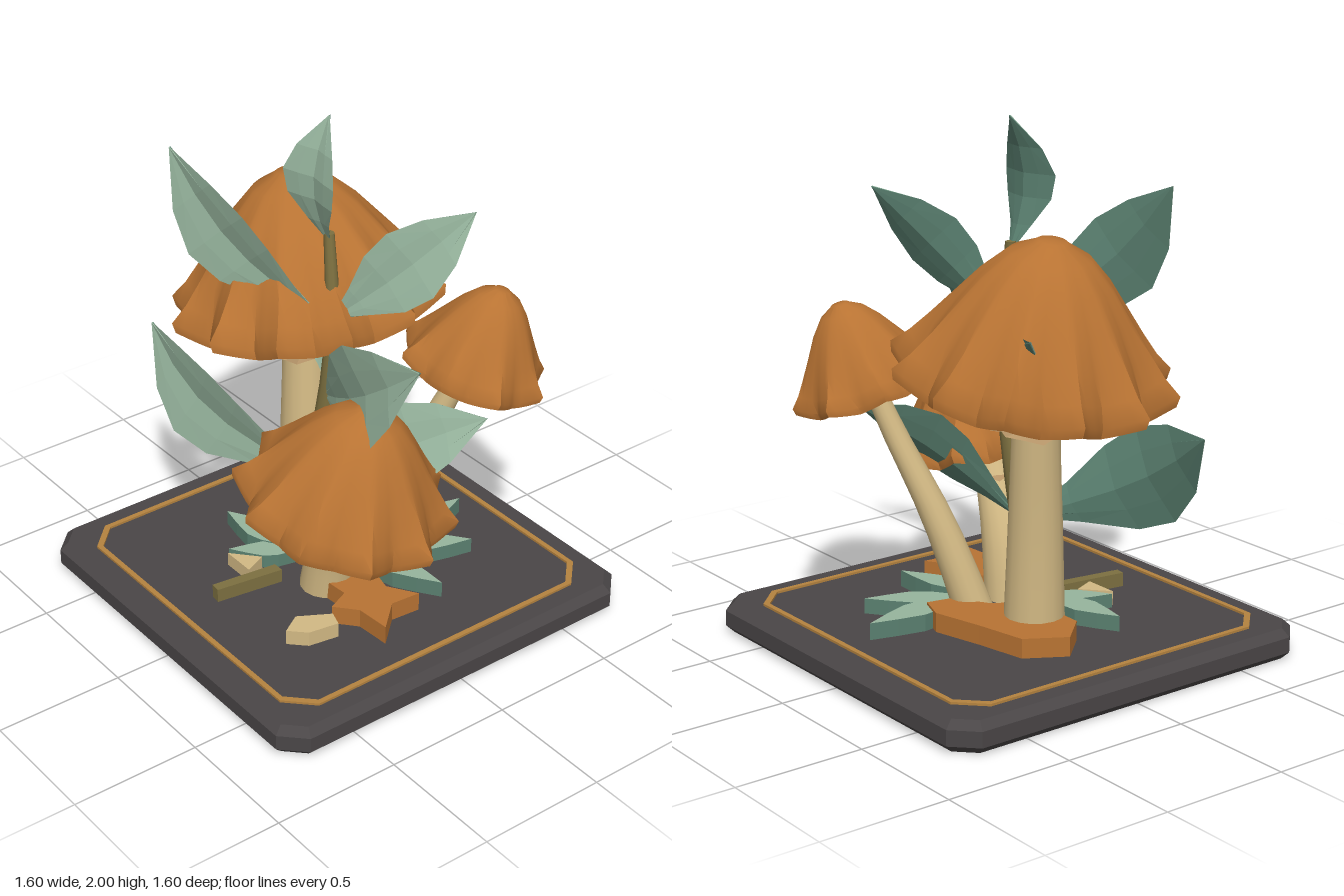
import * as THREE from 'three';
import { toCreasedNormals } from 'three/addons/utils/BufferGeometryUtils.js';

const V = (x, y, z) => new THREE.Vector3(x, y, z);
const UP = V(0, 1, 0);

function makeMaterials() {
  const mat = (name, color, extra = {}) => {
    const m = new THREE.MeshStandardMaterial({ color, ...extra });
    m.name = name;
    return m;
  };
  const thin = { side: THREE.DoubleSide, flatShading: true };
  return {
    copper: mat('copper brown', 0xb87333),
    leaf: mat('sage green', 0x96b49d, thin),
    leafBack: mat('deep green', 0x5a8070, thin),
    cream: mat('cream', 0xd2b984),
    olive: mat('olive', 0x7d7040),
    skirt: mat('tan', 0xb59468, thin),
    slate: mat('charcoal', 0x4a4647),
    brass: mat('brass', 0xb5833f),
  };
}

function add(parent, name, geometry, material) {
  const mesh = new THREE.Mesh(geometry, material);
  mesh.name = name;
  parent.add(mesh);
  return mesh;
}

// Square with cut corners
function cutSquare(Type, h, c) {
  const k = h - c;
  return new Type([[h, k], [k, h], [-k, h], [-h, k], [-h, -k], [-k, -h], [k, -h], [h, -k]]
    .map(([x, y]) => new THREE.Vector2(x, y)));
}

// Flat plate from an outline in plan (x, z)
function plate(points, y, depth) {
  const shape = new THREE.Shape(points.map(([x, z]) => new THREE.Vector2(x, -z)));
  const g = new THREE.ExtrudeGeometry(shape, { depth, bevelEnabled: false });
  return g.rotateX(-Math.PI / 2).translate(0, y, 0);
}

// Stem that follows a curve and tapers
function stemGeometry(points, r0, r1, sides = 16) {
  const curve = new THREE.CatmullRomCurve3(points.map((p) => V(...p)));
  const g = new THREE.CylinderGeometry(1, 1, 1, sides, 10);
  const p = g.attributes.position;
  for (let i = 0; i < p.count; i++) {
    const t = p.getY(i) + 0.5;
    const c = curve.getPoint(t);
    const r = r1 + (r0 - r1) * Math.pow(1 - t, 1.2);
    p.setXYZ(i, c.x + p.getX(i) * r, c.y, c.z + p.getZ(i) * r);
  }
  return toCreasedNormals(g, 0.9);
}

// Star-rimmed bell: outer skin, lip, then inner skin; the points flare up
function capGeometry(R, H, points, phase) {
  const outer = [[0.002, 1], [0.1, 0.995], [0.13, 0.975], [0.28, 0.9], [0.45, 0.73], [0.6, 0.53],
    [0.75, 0.32], [0.88, 0.14], [1, 0]];
  const inner = [[0.985, -0.07], [0.92, -0.05], [0.72, 0.25], [0.42, 0.66], [0.2, 0.85], [0.002, 0.9]];
  const rows = [...outer, ...inner];
  const n = points * 8;
  const pos = [], index = [];
  rows.forEach(([u, v]) => {
    const s = Math.pow(u, 3);
    for (let j = 0; j < n; j++) {
      const a = (j / n) * Math.PI * 2 + phase;
      const dip = Math.pow(1 - Math.abs((j % 8) - 4) / 4, 0.75);
      const r = R * u * (1.02 - 0.18 * s * dip);
      pos.push(r * Math.cos(a), H * v + R * s * (0.12 - 0.1 * dip), r * Math.sin(a));
    }
  });
  // j % 8 = 4 marks a valley of the star, j % 8 = 0 a point
  for (let i = 0; i < rows.length - 1; i++) {
    for (let j = 0; j < n; j++) {
      const k = (j + 1) % n;
      const a = i * n + j, b = i * n + k, c = a + n, d = b + n;
      index.push(a, b, c, b, d, c);
    }
  }
  const g = new THREE.BufferGeometry();
  g.setAttribute('position', new THREE.Float32BufferAttribute(pos, 3));
  g.setIndex(index);
  return toCreasedNormals(g, 0.8);
}

// Ragged collar around a stem
function skirtGeometry(r) {
  const g = new THREE.RingGeometry(r * 0.4, r, 14, 1).rotateX(-Math.PI / 2);
  const p = g.attributes.position;
  for (let i = 0; i < p.count; i++) {
    const x = p.getX(i), z = p.getZ(i);
    const a = Math.atan2(z, x);
    const rim = Math.hypot(x, z) > r * 0.7;
    const k = rim ? 0.9 + 0.1 * Math.cos(a * 7) : 1;
    p.setXYZ(i, x * k, rim ? 0.012 * Math.sin(a * 3) : 0.02, z * k);
  }
  return g;
}

// One face of a cupped, arched leaf; lift moves it off the middle layer
function leafGeometry(base, tip, side, half, bow, lift) {
  const b = V(...base), t = V(...tip), s = V(...side).normalize(), w = V(...bow);
  const normal = t.clone().sub(b).cross(s).normalize();
  const stations = [[0, 0.06], [0.18, 0.42], [0.38, 0.88], [0.56, 1], [0.76, 0.7], [1, 0.005]];
  const pos = [], index = [];
  stations.forEach(([u, k], i) => {
    const mid = b.clone().lerp(t, u).addScaledVector(w, Math.sin(Math.PI * u));
    [-1, -0.5, 0, 0.5, 1].forEach((e) => {
      const cup = Math.abs(e) * k * half * 0.25 + (Math.abs(e) < 1 ? lift : 0);
      const q = mid.clone().addScaledVector(s, e * half * k).addScaledVector(normal, cup);
      pos.push(q.x, q.y, q.z);
    });
    if (i) {
      for (let j = 0; j < 4; j++) {
        const a = (i - 1) * 5 + j, c = a + 5;
        if (lift > 0) index.push(a, c, a + 1, a + 1, c, c + 1);
        else index.push(a, a + 1, c, a + 1, c + 1, c);
      }
    }
  });
  const g = new THREE.BufferGeometry();
  g.setAttribute('position', new THREE.Float32BufferAttribute(pos, 3));
  g.setIndex(index);
  const flat = g.toNonIndexed();
  flat.computeVertexNormals();
  return flat;
}

// Outline of a leaf lying on the plinth
function flatLeaf(x0, z0, x1, z1, w) {
  const dx = x1 - x0, dz = z1 - z0, l = Math.hypot(dx, dz);
  return [[0, 0.2], [0.3, 0.9], [0.5, 1], [0.75, 0.55], [1, 0], [0.75, -0.55], [0.5, -1], [0.3, -0.9], [0, -0.2]]
    .map(([u, e]) => [x0 + dx * u - (dz / l) * e * w, z0 + dz * u + (dx / l) * e * w]);
}

export function createModel() {
  const M = makeMaterials();
  const root = new THREE.Group();
  root.name = 'mushroomCluster';

  // Plinth with bevelled edges and an inlaid border
  const slab = new THREE.ExtrudeGeometry(cutSquare(THREE.Shape, 0.77, 0.07),
    { depth: 0.06, bevelThickness: 0.03, bevelSize: 0.03, bevelSegments: 1 });
  add(root, 'plinth', slab.rotateX(-Math.PI / 2).translate(0, 0.03, 0), M.slate);
  const border = cutSquare(THREE.Shape, 0.7, 0.1);
  border.holes.push(cutSquare(THREE.Path, 0.68, 0.093));
  const inlay = new THREE.ExtrudeGeometry(border, { depth: 0.009, bevelEnabled: false });
  add(root, 'plinthInlay', inlay.rotateX(-Math.PI / 2).translate(0, 0.12, 0), M.brass);

  // Mushrooms: stem path, rim centre, apex, radius, rim points and their phase
  const mushrooms = [
    { name: 'largeMushroom', stem: [[-0.235, 0, -0.05], [-0.255, 0.5, -0.06], [-0.285, 0.95, -0.08], [-0.32, 1.35, -0.08]],
      r: [0.12, 0.075], rim: V(-0.27, 1.08, -0.09), apex: V(-0.36, 1.62, -0.07), R: 0.52, n: 12, phase: -0.2,
      skirt: [-0.27, 0.91, -0.08, 0.16] },
    { name: 'frontMushroom', stem: [[0.1, 0, 0.12], [0.17, 0.35, 0.13], [0.29, 0.62, 0.16], [0.41, 0.9, 0.21]],
      r: [0.115, 0.06], rim: V(0.38, 0.66, 0.25), apex: V(0.475, 1.09, 0.2), R: 0.41, n: 10, phase: -0.21,
      skirt: [0.29, 0.58, 0.16, 0.13] },
    { name: 'backMushroom', stem: [[0.01, 0, -0.08], [0.13, 0.48, -0.21], [0.27, 0.87, -0.34], [0.35, 1.15, -0.42]],
      r: [0.085, 0.033], rim: V(0.33, 0.98, -0.385), apex: V(0.39, 1.31, -0.47), R: 0.285, n: 8, phase: 0.36 },
  ];
  for (const m of mushrooms) {
    const group = new THREE.Group();
    group.name = m.name;
    root.add(group);
    add(group, 'stem', stemGeometry(m.stem, ...m.r), M.cream);
    const axis = m.apex.clone().sub(m.rim);
    const cap = add(group, 'cap', capGeometry(m.R, axis.length(), m.n, m.phase), M.copper);
    cap.position.copy(m.rim);
    cap.quaternion.setFromUnitVectors(UP, axis.normalize());
    if (m.skirt) {
      const [x, y, z, r] = m.skirt;
      add(group, 'collar', skirtGeometry(r), M.skirt).position.set(x, y, z);
    }
  }

  // Leafy sprig in the middle
  const sprig = new THREE.Group();
  sprig.name = 'sprig';
  root.add(sprig);
  add(sprig, 'sprigStalk', stemGeometry(
    [[-0.13, 0, 0.06], [-0.07, 0.4, 0.06], [0.03, 0.8, 0.055], [0.055, 1.15, 0.045], [0.01, 1.54, 0.03]],
    0.085, 0.02, 10), M.olive);
  const leaves = [
    ['topLeaf', [0.01, 1.51, 0.03], [0.015, 2.0, 0.03], [-1, 0, 0.1], 0.13, [0.005, 0, 0.07]],
    ['upperLeftLeaf', [0.03, 1.23, 0.09], [-0.5, 1.78, 0.36], [-0.7, -0.65, 0.2], 0.17, [-0.02, -0.03, 0.05]],
    ['upperRightLeaf', [0.07, 1.23, 0.05], [0.46, 1.71, -0.27], [-0.75, 0.68, 0.2], 0.14, [0.03, 0, 0.02]],
    ['middleRightLeaf', [0.05, 0.9, 0.07], [0.75, 1.37, 0.21], [-0.5, 0.8, -0.1], 0.19, [0.03, -0.01, 0.07]],
    ['lowerLeftLeaf', [-0.05, 0.5, 0.07], [-0.76, 0.92, 0.3], [-0.45, -0.8, 0.1], 0.19, [-0.03, -0.02, 0.09]],
    ['backLeaf', [0.04, 0.88, 0.03], [-0.59, 1.34, -0.35], [-0.55, -0.65, 0.3], 0.16, [0, 0, -0.02]],
    ['lowerRightLeaf', [0, 0.5, 0.04], [0.5, 0.87, -0.32], [-0.5, 0.6, -0.15], 0.16, [0.02, 0.02, 0.02]],
  ];
  for (const [name, ...args] of leaves) {
    add(sprig, name + 'Face', leafGeometry(...args, 0.0045), M.leaf);
    add(sprig, name + 'Underside', leafGeometry(...args, -0.0045), M.leafBack);
  }

  // Thick litter pieces around the stems
  const litter = new THREE.Group();
  litter.name = 'groundLitter';
  root.add(litter);
  const leafPair = [M.leaf, M.leafBack];
  const pieces = [
    ['barkPatch', M.copper, [[-0.51, -0.1], [-0.42, -0.25], [-0.22, -0.29], [-0.02, -0.34], [0.09, -0.3],
      [0.07, -0.2], [-0.06, -0.12], [-0.15, 0.02], [-0.4, 0.02]], 0.075],
    ['barkStar', M.copper, [[0.13, 0.1], [0.24, 0], [0.36, 0.03], [0.47, -0.04], [0.46, 0.08], [0.56, 0.19],
      [0.42, 0.2], [0.34, 0.27], [0.3, 0.18], [0.18, 0.19]], 0.075],
    ['fallenLeaf', leafPair, flatLeaf(0.09, -0.16, 0.06, -0.58, 0.065), 0.065],
    ['fallenLeaf', leafPair, flatLeaf(0.11, -0.14, 0.3, -0.44, 0.06), 0.06],
    ['fallenLeaf', leafPair, flatLeaf(0.1, -0.05, 0.46, -0.16, 0.055), 0.065],
    ['fallenLeaf', leafPair, flatLeaf(-0.1, 0.14, -0.43, 0.2, 0.06), 0.06],
    ['fallenLeaf', leafPair, flatLeaf(-0.06, 0.12, -0.22, 0.34, 0.05), 0.055],
    ['creamChip', M.cream, [[-0.2, 0.36], [-0.1, 0.27], [-0.06, 0.36]], 0.055],
    ['creamChip', M.cream, [[0.29, 0.4], [0.36, 0.28], [0.42, 0.3], [0.4, 0.42], [0.34, 0.48]], 0.06],
    ['twig', M.olive, [[-0.065, 0.525], [-0.025, 0.53], [0.015, 0.26], [-0.03, 0.26]], 0.055],
  ];
  for (const [name, material, outline, depth] of pieces) {
    add(litter, name, plate(outline, 0.12, depth), material);
  }
  return root;
}
